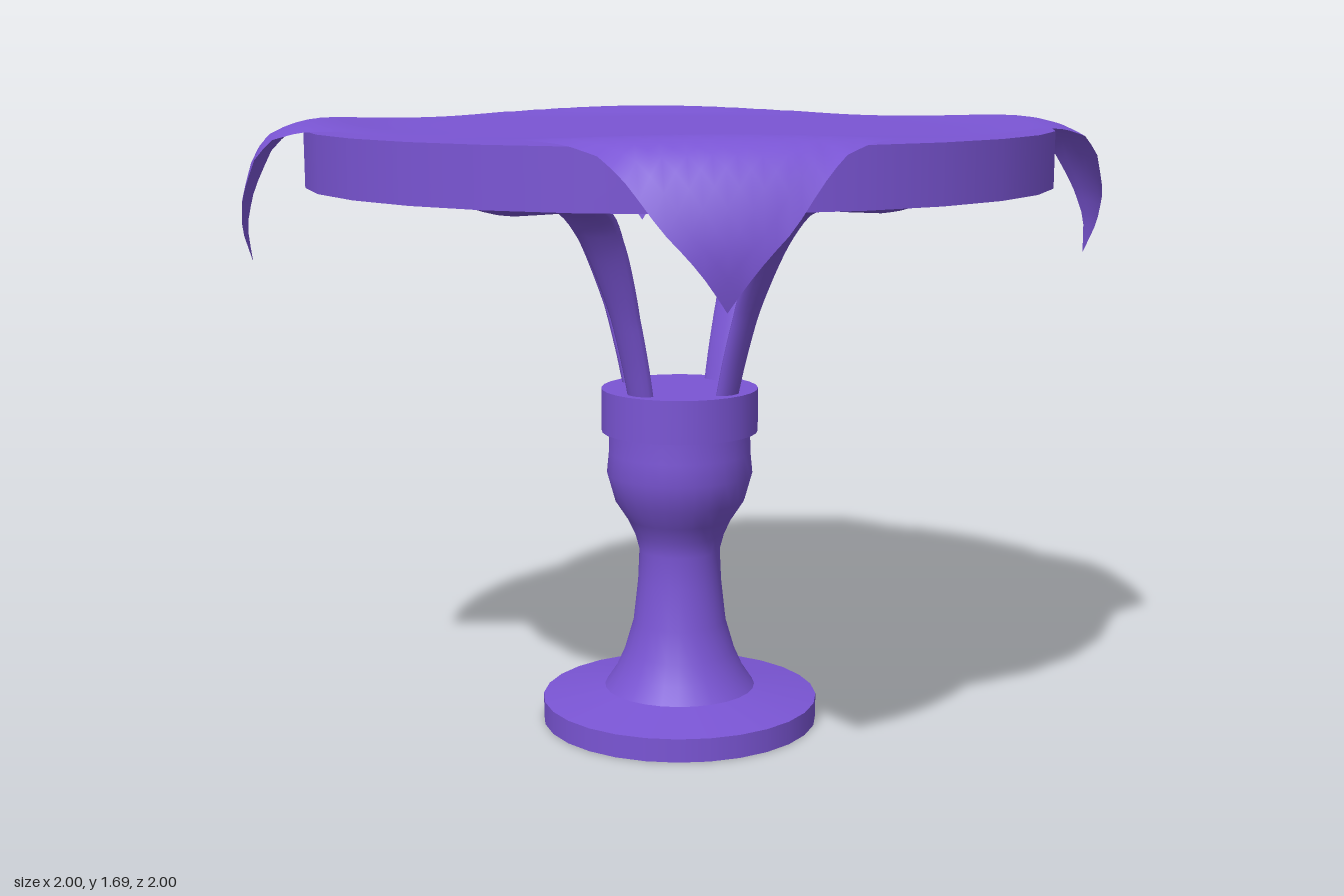
import * as THREE from 'three';

const SIDES = 28;
const material = new THREE.MeshStandardMaterial({ color: 0x7a55d4, side: THREE.DoubleSide });

function addMesh(parent, name, geometry) {
  const mesh = new THREE.Mesh(geometry, material);
  mesh.name = name;
  parent.add(mesh);
  return mesh;
}

function lathe(points) {
  return new THREE.LatheGeometry(points.map(([r, y]) => new THREE.Vector2(r, y)), SIDES);
}

function smoothCurve(points) {
  return new THREE.CatmullRomCurve3(points.map((p) => new THREE.Vector3(...p)), false, 'centripetal');
}

// Piecewise linear lookup in rows of [key, value, value...]
function lookup(rows, key, column) {
  let i = 1;
  while (i < rows.length - 1 && rows[i][0] < key) i++;
  const a = rows[i - 1], b = rows[i];
  const t = THREE.MathUtils.clamp((key - a[0]) / (b[0] - a[0]), 0, 1);
  return THREE.MathUtils.lerp(a[column], b[column], t);
}

// Curved bracket along +x: a lens section swept up and outward, widening like a leaf
function bracketGeometry() {
  const path = smoothCurve([
    [0.16, 0.93, 0], [0.19, 1.05, 0], [0.245, 1.22, 0], [0.32, 1.38, 0],
    [0.385, 1.46, 0], [0.47, 1.487, 0], [0.6, 1.493, 0], [0.77, 1.497, 0],
  ]);
  const halfWidth = [[0, 0.042], [0.25, 0.05], [0.5, 0.078], [0.65, 0.105],
    [0.8, 0.125], [0.9, 0.115], [0.96, 0.08], [1, 0.005]];
  const rings = 40, around = 14;
  const positions = [], index = [];
  for (let i = 0; i <= rings; i++) {
    const t = i / rings;
    const p = path.getPointAt(t), d = path.getTangentAt(t);
    const w = lookup(halfWidth, t, 1);
    const depth = t > 0.9 ? 0.022 * (1 - t) / 0.1 + 0.002 : 0.022;
    for (let j = 0; j < around; j++) {
      const a = (j / around) * Math.PI * 2;
      // The underside bulges; the upper side is nearly flat
      const n = Math.sin(a) * (Math.sin(a) < 0 ? depth * 1.2 : depth * 0.6);
      positions.push(p.x - d.y * n, p.y + d.x * n, Math.cos(a) * w);
    }
  }
  for (let i = 0; i < rings; i++) {
    for (let j = 0; j < around; j++) {
      const a = i * around + j, b = i * around + (j + 1) % around;
      index.push(a, a + around, b, b, a + around, b + around);
    }
  }
  const g = new THREE.BufferGeometry();
  g.setAttribute('position', new THREE.Float32BufferAttribute(positions, 3));
  g.setIndex(index);
  g.computeVertexNormals();
  return g;
}

// Square cloth: flat on the table, bent down wherever it passes the round edge
function clothGeometry() {
  const half = 0.93;
  const g = new THREE.PlaneGeometry(half * 2, half * 2, 48, 48);
  g.rotateX(-Math.PI / 2);
  const drape = [ // flat radius, draped radius, height
    [0, 0, 1.667], [0.98, 0.98, 1.667], [1.03, 1.035, 1.66], [1.08, 1.09, 1.64],
    [1.118, 1.125, 1.59], [1.176, 1.155, 1.49], [1.25, 1.16, 1.4], [1.315, 1.14, 1.31],
  ];
  const pos = g.attributes.position;
  for (let i = 0; i < pos.count; i++) {
    const x = pos.getX(i), z = pos.getZ(i);
    const r = Math.hypot(x, z);
    if (r < 1e-6) { pos.setY(i, 1.667); continue; }
    const scale = lookup(drape, r, 1) / r;
    // Slight swell towards the corners
    const corner = (2 * x * z / (r * r)) ** 2;
    const swell = 0.022 * corner * Math.exp(-(((r - 0.94) / 0.13) ** 2));
    pos.setXYZ(i, x * scale, lookup(drape, r, 2) + swell, z * scale - 0.012);
  }
  g.computeVertexNormals();
  return g;
}

export function createModel() {
  const table = new THREE.Group();
  table.name = 'table';

  // Hollow foot, open underneath
  const foot = new THREE.Group();
  foot.name = 'foot';
  addMesh(foot, 'footRim', lathe([[0.387, 0], [0.387, 0.065]]));
  addMesh(foot, 'footTop', lathe([[0.387, 0.065], [0.212, 0.095]]));
  table.add(foot);

  // Turned column with a bulb below the collar
  addMesh(table, 'column', lathe([
    [0.212, 0.095], [0.182, 0.14], [0.155, 0.2], [0.13, 0.285], [0.117, 0.4],
    [0.113, 0.49], [0.125, 0.535], [0.146, 0.58], [0.182, 0.635], [0.203, 0.71],
    [0.197, 0.77], [0.196, 0.835],
  ]));
  const collar = addMesh(table, 'collar', new THREE.CylinderGeometry(0.217, 0.217, 0.12, SIDES));
  collar.position.y = 0.89;

  // Four brackets carrying the top
  const bracket = bracketGeometry();
  for (let i = 0; i < 4; i++) {
    addMesh(table, 'bracket', bracket).rotation.y = i * Math.PI / 2;
  }

  const top = addMesh(table, 'tabletop', new THREE.CylinderGeometry(1, 1, 0.148, SIDES));
  top.position.y = 1.589;

  addMesh(table, 'tablecloth', clothGeometry());
  return table;
}
